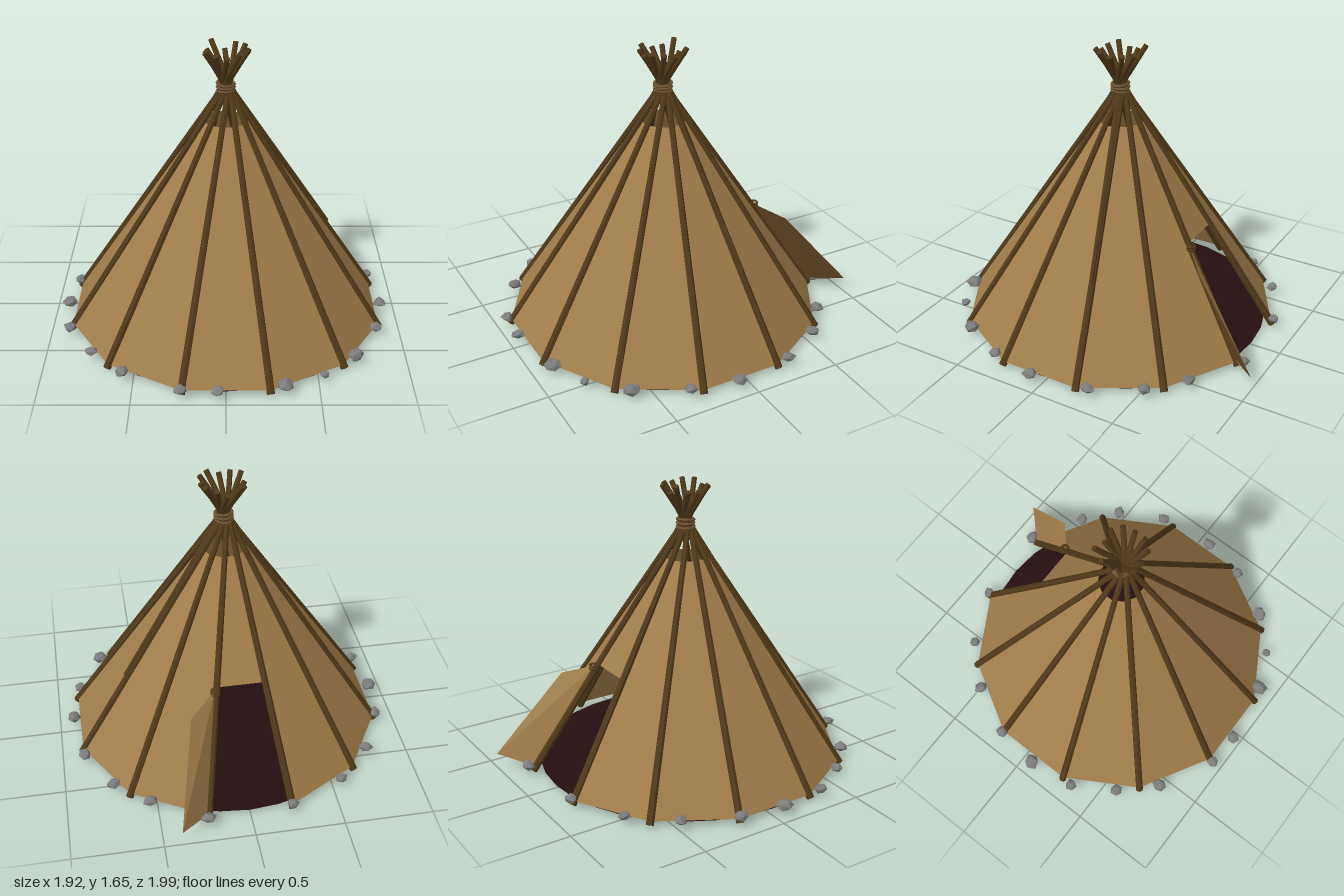
import * as THREE from 'three';

const mat = (name, color, extra = {}) =>
  Object.assign(new THREE.MeshStandardMaterial({ color, flatShading: true, ...extra }), { name });

// Quad faces from corner lists (counter-clockwise from the visible side)
function quads(list) {
  const pos = [];
  for (const [a, b, c, d] of list) for (const p of [a, b, c, a, c, d]) pos.push(...p);
  const g = new THREE.BufferGeometry();
  g.setAttribute('position', new THREE.Float32BufferAttribute(pos, 3));
  g.computeVertexNormals();
  return g;
}

// Tapered pole between two points
function pole(a, b, r0, r1, material, name) {
  const dir = b.clone().sub(a);
  const mesh = new THREE.Mesh(new THREE.CylinderGeometry(r1, r0, dir.length(), 7), material);
  mesh.position.copy(a).add(b).multiplyScalar(0.5);
  mesh.quaternion.setFromUnitVectors(new THREE.Vector3(0, 1, 0), dir.normalize());
  mesh.name = name;
  return mesh;
}

export function createModel() {
  const canvas = mat('canvas', 0xa07d4a, { side: THREE.DoubleSide });
  const flapTan = mat('flap lining', 0xa07d4a);
  const flapBrown = mat('flap outside', 0x6b4b28);
  const wood = mat('wood', 0x4f3919);
  const rope = mat('rope', 0x6a5030);
  const ground = mat('dark floor', 0x240d10, { side: THREE.DoubleSide });
  const stone = mat('stone', 0x7c7c7c);

  let seed = 7;
  const rand = () => (seed = (seed * 16807) % 2147483647) / 2147483647;
  const add = (parent, geo, material, name) => {
    const m = new THREE.Mesh(geo, material);
    m.name = name;
    parent.add(m);
    return m;
  };

  const model = new THREE.Group();
  model.name = 'tent';
  const tent = new THREE.Group();
  tent.name = 'tentBody';
  tent.position.z = 0.037;
  model.add(tent);

  // Twelve-panel cover; the back panel starts above the doorway
  const yLow = 0.033, yTop = 1.215, step = Math.PI / 6;
  const rim = (a, y) => {
    const r = 0.91 + (0.127 - 0.91) * (y - yLow) / (yTop - yLow);
    return [r * Math.sin(a), y, r * Math.cos(a)];
  };
  const panels = [];
  for (let k = 0; k < 12; k++) {
    const a0 = (k - 0.5) * step, a1 = a0 + step, y0 = k === 6 ? 0.62 : yLow;
    panels.push([rim(a0, y0), rim(a1, y0), rim(a1, yTop), rim(a0, yTop)]);
  }
  add(tent, quads(panels), canvas, 'cover');

  // Floor
  const floor = add(tent, new THREE.CircleGeometry(0.862, 32), ground, 'floor');
  floor.rotation.x = -Math.PI / 2;
  floor.position.y = 0.015;

  // Poles along the seams, crossing at the top
  for (let k = 0; k < 12; k++) {
    const a = (k + 0.5) * step, s = Math.sin(a), c = Math.cos(a);
    const foot = new THREE.Vector3(s * 0.917, 0.014, c * 0.917);
    const cross = new THREE.Vector3(c * 0.02, 1.425, -s * 0.02);
    const tip = foot.clone().lerp(cross, 1.115 + rand() * 0.04);
    tent.add(pole(foot, tip, 0.022, 0.015, wood, 'pole'));
  }
  // Loose pole resting on the left side
  tent.add(pole(new THREE.Vector3(0.6, 0.5, -0.165), new THREE.Vector3(0.02, 1.4, -0.01),
    0.012, 0.018, wood, 'loosePole'));

  // Rope lashing around the crossing
  [1.385, 1.405, 1.425].forEach((y, i) => {
    const ring = add(tent, new THREE.TorusGeometry(0.047, 0.009, 5, 14), rope, 'lashing');
    ring.rotation.set(Math.PI / 2 + 0.08 * (i - 1), 0.06 * (1 - i), 0);
    ring.position.y = y;
  });

  // Open door flap, one face each way
  const A = [0.14, 0.615, -0.485], B = [0.29, 0.55, -0.62], C = [0.4, 0.09, -1.0], D = [0.225, 0.035, -0.83];
  add(model, quads([[A, B, C, D]]), flapTan, 'doorFlapInside');
  add(model, quads([[D, C, B, A]]), flapBrown, 'doorFlapOutside');

  // Ties holding the flap to the pole
  for (const y of [0.6, 0.62]) {
    const tie = add(model, new THREE.TorusGeometry(0.022, 0.006, 5, 10), wood, 'flapTie');
    tie.rotation.x = Math.PI / 2;
    tie.position.set(0.138, y, -0.493);
  }

  // Ring of stones: x, z, size
  const stones = [
    [-0.235, -0.855, 0.035], [-0.55, -0.71, 0.034], [-0.755, -0.485, 0.038], [-0.89, -0.2, 0.04],
    [-0.925, 0.065, 0.045], [-0.89, 0.345, 0.038], [-0.745, 0.58, 0.034], [-0.56, 0.77, 0.042],
    [-0.24, 0.94, 0.035], [-0.045, 0.95, 0.038], [0.32, 0.895, 0.045], [0.53, 0.8, 0.028],
    [0.715, 0.615, 0.046], [0.86, 0.34, 0.038], [0.915, 0.07, 0.04], [0.875, -0.27, 0.04],
    [0.73, -0.535, 0.04], [0.54, -0.7, 0.04], [0.24, -0.88, 0.042],
  ];
  for (const [x, z, r] of stones) {
    const geo = new THREE.IcosahedronGeometry(r, 0);
    const p = geo.attributes.position, moved = {};
    for (let i = 0; i < p.count; i++) {
      const key = [p.getX(i), p.getY(i), p.getZ(i)].map(v => v.toFixed(3)).join();
      const f = (moved[key] ??= 0.8 + rand() * 0.4);
      p.setXYZ(i, p.getX(i) * f, p.getY(i) * f * 0.7, p.getZ(i) * f);
    }
    geo.computeVertexNormals();
    const rock = add(model, geo, stone, 'stone');
    rock.position.set(x, 0.055, z);
    rock.rotation.y = rand() * 6.28;
  }
  return model;
}
